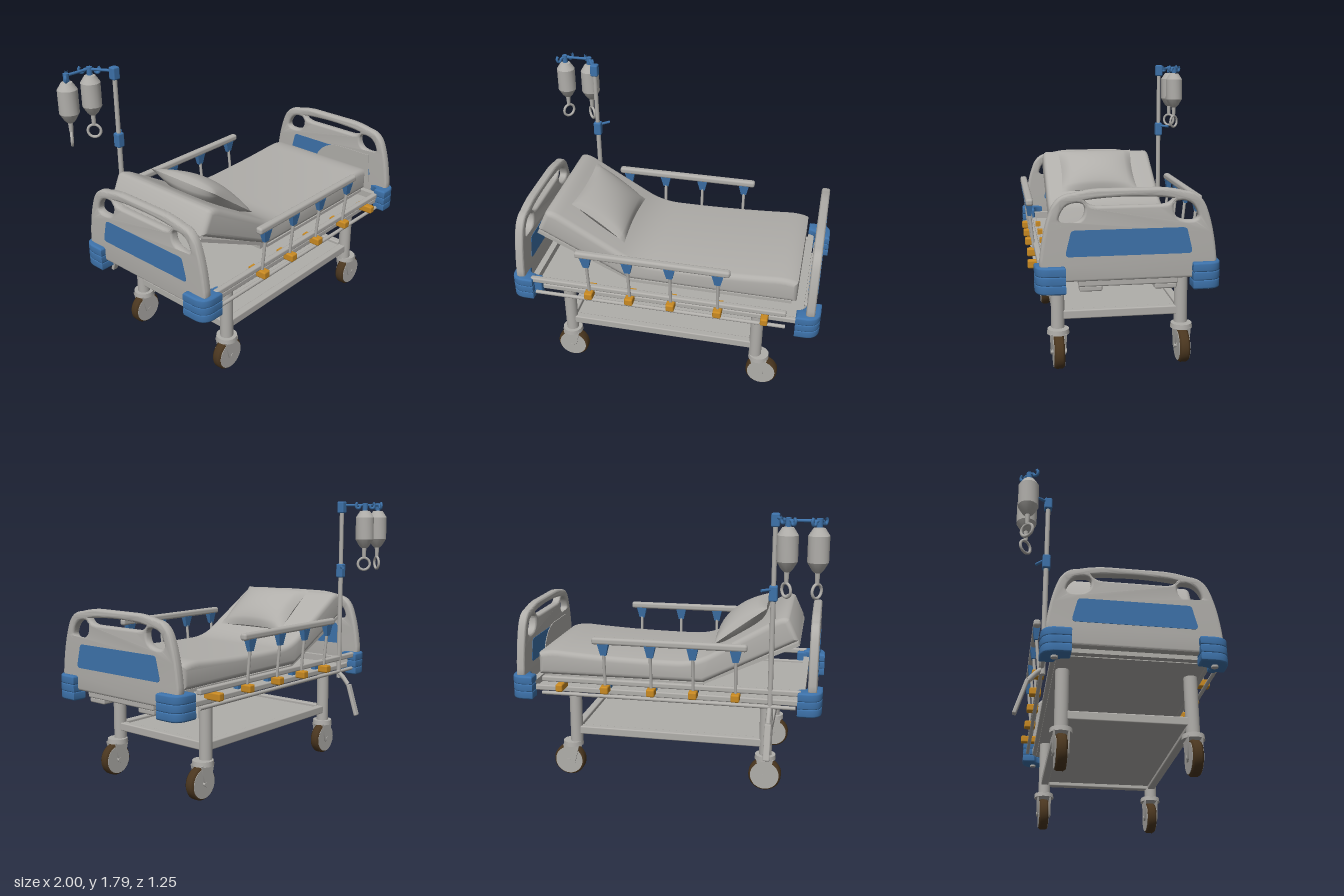
import * as THREE from 'three';
import { toCreasedNormals, mergeVertices } from 'three/addons/utils/BufferGeometryUtils.js';
import { RoundedBoxGeometry } from 'three/addons/geometries/RoundedBoxGeometry.js';

const CZ = 0.07; // bed centre line in z

function material(name, color) {
  const m = new THREE.MeshStandardMaterial({ color });
  m.name = name;
  return m;
}

export function createModel() {
  const bed = new THREE.Group();
  bed.name = 'hospitalBed';
  const grey = material('lightGrey', 0xb0aeaa);
  const blue = material('blue', 0x3d72aa);
  const orange = material('orange', 0xc98a22);
  const rubber = material('darkBrownRubber', 0x4a361f);

  const add = (name, geo, mat, x = 0, y = 0, z = 0, parent = bed) => {
    const m = new THREE.Mesh(geo, mat);
    m.name = name;
    m.position.set(x, y, z);
    parent.add(m);
    return m;
  };
  const box = (name, mat, w, h, d, x, y, z, r = 0) =>
    add(name, r ? new RoundedBoxGeometry(w, h, d, 2, r) : new THREE.BoxGeometry(w, h, d), mat, x, y, z);
  // Round bar between two points
  const bar = (name, mat, a, b, r, sides = 16) => {
    const p = new THREE.Vector3(...a), q = new THREE.Vector3(...b);
    const m = add(name, new THREE.CylinderGeometry(r, r, p.distanceTo(q), sides), mat);
    m.position.copy(p).add(q).multiplyScalar(0.5);
    m.quaternion.setFromUnitVectors(new THREE.Vector3(0, 1, 0), q.sub(p).normalize());
  };
  const tube = (name, mat, pts, r, parent = bed) => add(name, new THREE.TubeGeometry(
    new THREE.CatmullRomCurve3(pts.map(p => new THREE.Vector3(...p))), 24, r, 10), mat, 0, 0, 0, parent);
  const profile = (pts) => pts.map(p => new THREE.Vector2(...p));
  // Extrusion centred on its depth, with rounded edges kept inside the outline
  const slab = (shape, depth, bevel) => {
    const g = new THREE.ExtrudeGeometry(shape, {
      depth: depth - 2 * bevel, bevelEnabled: bevel > 0, bevelSize: bevel, bevelOffset: -bevel,
      bevelThickness: bevel, bevelSegments: 4, curveSegments: 10,
    });
    g.translate(0, 0, bevel - depth / 2);
    return toCreasedNormals(g, 0.6);
  };

  // Head and foot boards with grip slot and corner openings
  const board = new THREE.Shape();
  board.moveTo(-0.46, 0.62);
  board.lineTo(0.46, 0.62);
  board.lineTo(0.505, 0.72);
  board.quadraticCurveTo(0.49, 0.9, 0.445, 1.02);
  board.quadraticCurveTo(0.41, 1.115, 0.32, 1.118);
  board.quadraticCurveTo(0.24, 1.14, 0.16, 1.142);
  board.lineTo(-0.16, 1.142);
  board.quadraticCurveTo(-0.24, 1.14, -0.32, 1.118);
  board.quadraticCurveTo(-0.41, 1.115, -0.445, 1.02);
  board.quadraticCurveTo(-0.49, 0.9, -0.505, 0.72);
  board.closePath();
  const slot = new THREE.Path();
  slot.moveTo(-0.25, 1.08);
  slot.quadraticCurveTo(0, 1.11, 0.25, 1.08);
  slot.quadraticCurveTo(0.23, 1.045, 0.17, 1.045);
  slot.lineTo(-0.17, 1.045);
  slot.quadraticCurveTo(-0.23, 1.045, -0.25, 1.08);
  board.holes.push(slot);
  for (const s of [-1, 1]) {
    const h = new THREE.Path();
    h.moveTo(s * 0.28, 1.065);
    h.quadraticCurveTo(s * 0.37, 1.075, s * 0.395, 0.98);
    h.quadraticCurveTo(s * 0.395, 0.955, s * 0.36, 0.952);
    h.quadraticCurveTo(s * 0.25, 0.945, s * 0.25, 1.03);
    h.quadraticCurveTo(s * 0.25, 1.06, s * 0.28, 1.065);
    board.holes.push(h);
  }
  const boardGeo = slab(board, 0.056, 0.016);
  const panel = new THREE.Shape();
  panel.moveTo(-0.335, 0.765);
  panel.lineTo(0.335, 0.765);
  panel.quadraticCurveTo(0.36, 0.765, 0.357, 0.79);
  panel.lineTo(0.33, 0.9);
  panel.quadraticCurveTo(0.325, 0.915, 0.3, 0.915);
  panel.lineTo(-0.3, 0.915);
  panel.quadraticCurveTo(-0.325, 0.915, -0.33, 0.9);
  panel.lineTo(-0.357, 0.79);
  panel.quadraticCurveTo(-0.36, 0.765, -0.335, 0.765);
  const panelGeo = slab(panel, 0.004, 0);

  // Corner bumper plan: rounded outer corner, hollowed inner corner
  const plan = new THREE.Shape();
  plan.moveTo(0.06, 0);
  plan.lineTo(0.15, 0);
  plan.lineTo(0.15, 0.08);
  plan.quadraticCurveTo(0.15, 0.17, 0.06, 0.17);
  plan.lineTo(0, 0.17);
  plan.lineTo(0, 0.085);
  plan.quadraticCurveTo(0.06, 0.08, 0.06, 0);
  const ridgeGeo = slab(plan, 0.058, 0.012).rotateX(Math.PI / 2);
  for (const sx of [-1, 1]) {
    const end = sx < 0 ? 'head' : 'foot';
    add(end + 'Board', boardGeo, grey, sx * 0.937, 0, CZ).rotation.y = Math.PI / 2;
    for (const f of [-1, 1])
      add(end + 'BoardPanel', panelGeo, blue, sx * 0.937 + f * 0.0285, 0, CZ).rotation.y = Math.PI / 2;
    box(end + 'CrossBeam', grey, 0.04, 0.06, 0.92, sx * 0.87, 0.64, CZ);
    for (const sz of [-1, 1]) {
      const corner = new THREE.Group();
      corner.name = end + 'CornerBumper';
      for (let i = 0; i < 3; i++) add('bumperRidge', ridgeGeo, blue, -0.15, 0.586 + i * 0.049, 0, corner);
      // Turn the plan so its rounded corner points outwards
      corner.position.set(sx, 0, CZ + sz * 0.36);
      corner.scale.set(sx, 1, sz);
      bed.add(corner);
      bar('cornerPeg', grey, [sx * 0.937, 0.545, CZ + sz * 0.45], [sx * 0.937, 0.58, CZ + sz * 0.45], 0.02);
    }
  }
  // Grey arched cover over the inner face of the foot board
  const cover = new THREE.Shape();
  cover.moveTo(-0.36, 0.72);
  cover.lineTo(0.14, 0.72);
  cover.quadraticCurveTo(0.1, 0.93, -0.1, 0.93);
  cover.lineTo(-0.34, 0.93);
  cover.closePath();
  add('footBoardCover', slab(cover, 0.005, 0), grey, 0.9045, 0, CZ).rotation.y = Math.PI / 2;
  // Blue collar joining the front rails to the head corner
  box('railCollar', blue, 0.075, 0.13, 0.05, -0.84, 0.638, 0.535, 0.012);

  // Deck, plank under the mattress and hinged back support
  box('deck', grey, 1.7, 0.02, 0.86, 0, 0.615, CZ);
  box('mattressSupport', grey, 1.06, 0.02, 0.76, 0.28, 0.69, 0.05);
  box('backSupport', grey, 0.66, 0.022, 0.76, -0.545, 0.845, 0.05).rotation.z = -0.445;
  for (const x of [-0.203, 0.365, 0.66]) box('deckSpacer', grey, 0.04, 0.06, 0.6, x, 0.65, 0.05);

  // Crank housing at the foot end
  box('crankHousing', grey, 0.1, 0.045, 0.57, 0.9, 0.608, CZ, 0.01);
  for (const z of [0.285, -0.145]) box('crankHandle', grey, 0.08, 0.035, 0.13, 0.9, 0.572, z, 0.01);

  // Mattress with raised back
  const side = new THREE.Shape();
  side.moveTo(-0.25, 0.705);
  side.lineTo(0.84, 0.7);
  side.lineTo(0.84, 0.845);
  side.quadraticCurveTo(0.78, 0.872, 0.68, 0.862);
  side.quadraticCurveTo(0.3, 0.835, -0.08, 0.838);
  side.quadraticCurveTo(-0.2, 0.84, -0.3, 0.9);
  side.lineTo(-0.68, 1.125);
  side.quadraticCurveTo(-0.75, 1.165, -0.78, 1.14);
  side.lineTo(-0.84, 1.01);
  side.closePath();
  add('mattress', slab(side, 0.8, 0.035), grey, 0, 0, 0.045);

  // Pillow: two domed sheets joined along a pinched rim
  const pillow = new THREE.Group();
  pillow.name = 'pillow';
  for (const s of [1, -1]) {
    const g = new THREE.PlaneGeometry(2, 2, 18, 18).rotateX(s > 0 ? -Math.PI / 2 : Math.PI / 2);
    const p = g.attributes.position;
    for (let i = 0; i < p.count; i++) {
      const u = p.getX(i), v = p.getZ(i);
      const dome = Math.pow(Math.max(0, (1 - u * u) * (1 - v * v)), 0.55);
      p.setXYZ(i, u * 0.21 * (1 - 0.07 * (1 - v * v)), s * dome * 0.085, v * 0.273 * (1 - 0.06 * (1 - u * u)));
    }
    g.deleteAttribute('uv');
    g.deleteAttribute('normal');
    const merged = mergeVertices(g);
    merged.computeVertexNormals();
    add('pillowSheet', merged, grey, 0, 0, 0, pillow);
  }
  pillow.position.set(-0.46, 1.045, 0.072);
  pillow.rotation.z = -0.64;
  bed.add(pillow);

  // Side frames and guard rails
  const bracketGeo = toCreasedNormals(new THREE.CylinderGeometry(0.05, 0.026, 0.075, 4).rotateY(Math.PI / 4), 0.3);
  for (const sz of [-1, 1]) {
    const z = (d) => CZ + sz * d;
    box('upperSideRail', grey, 1.66, 0.036, 0.036, -0.04, 0.7, z(0.49), 0.01);
    box('lowerSideRail', grey, 1.72, 0.036, 0.03, 0, 0.622, z(0.445), 0.008);
    bar('guardPivotRod', grey, [-0.84, 0.605, z(0.5)], [0.79, 0.605, z(0.5)], 0.012);
    box('guardRail', grey, 0.98, 0.045, 0.046, -0.05, 0.98, z(0.53), 0.016);
    for (const x of [-0.47, -0.203, 0.065, 0.365]) {
      add('railBracket', bracketGeo, blue, x, 0.925, z(0.53)).scale.z = 0.6;
      bar('railPost', grey, [x, 0.67, z(0.505)], [x, 0.9, z(0.528)], 0.01);
      box('postFoot', sz > 0 ? orange : blue, 0.045, 0.03, 0.035, x, 0.66, z(0.435));
      box('railClamp', orange, 0.054, 0.05, 0.075, x, 0.657, z(0.511), 0.01);
    }
    box('railLatch', orange, 0.046, 0.05, 0.125, 0.66, 0.657, z(0.495), 0.01);
  }

  // Undercarriage
  const legX = [-0.655, 0.605], legZ = [-0.31, 0.45];
  for (const z of legZ) box('longBeam', grey, 1.24, 0.054, 0.05, -0.025, 0.322, z, 0.008);
  for (const x of legX) box('crossBeam', grey, 0.05, 0.054, 0.74, x, 0.322, CZ, 0.008);
  box('lowerShelf', grey, 1.2, 0.012, 0.72, -0.025, 0.325, CZ);
  const fork = new THREE.Shape();
  fork.moveTo(-0.055, 0.115);
  fork.lineTo(-0.025, -0.01);
  fork.quadraticCurveTo(0, -0.04, 0.025, -0.01);
  fork.lineTo(0.055, 0.115);
  fork.closePath();
  const forkGeo = slab(fork, 0.01, 0);
  const wheelGeo = new THREE.LatheGeometry(profile([[0.07, -0.033], [0.096, -0.031], [0.105, -0.018],
    [0.105, 0.018], [0.096, 0.031], [0.07, 0.033]]), 32).rotateX(Math.PI / 2);
  const hubGeo = new THREE.CylinderGeometry(0.092, 0.092, 0.068, 32).rotateX(Math.PI / 2);
  legX.forEach((x, i) => {
    const wx = i ? 0.655 : -0.655;
    for (const z of legZ) {
      bar('leg', grey, [x, 0.23, z], [x, 0.61, z], 0.041, 24);
      const caster = new THREE.Group();
      caster.name = 'caster';
      add('tyre', wheelGeo, rubber, 0, 0, 0, caster);
      add('hub', hubGeo, grey, 0, 0, 0, caster);
      for (const s of [-1, 1]) add('fork', forkGeo, grey, (x - wx) * 0.4, 0, s * 0.042, caster);
      add('casterCap', new THREE.CylinderGeometry(0.065, 0.068, 0.03, 24), grey, (x - wx) * 0.5, 0.122, 0, caster);
      add('axle', new THREE.CylinderGeometry(0.014, 0.014, 0.1, 12).rotateX(Math.PI / 2), grey, 0, 0, 0, caster);
      caster.position.set(wx, 0.106, z);
      bed.add(caster);
    }
  });

  // Release paddle hanging from the back side
  tube('paddleArm', grey, [[-0.68, 0.6, -0.42], [-0.68, 0.57, -0.46], [-0.68, 0.52, -0.505]], 0.016);
  box('paddle', grey, 0.042, 0.225, 0.024, -0.68, 0.415, -0.545, 0.008).rotation.x = 0.31;

  // Drip stand
  bar('standPole', grey, [-0.682, 0.56, -0.425], [-0.682, 1.3, -0.425], 0.016);
  bar('standUpperPole', grey, [-0.682, 1.3, -0.425], [-0.682, 1.75, -0.425], 0.0145);
  box('standClamp', blue, 0.052, 0.095, 0.05, -0.682, 1.318, -0.425, 0.01);
  bar('clampLever', blue, [-0.682, 1.343, -0.425], [-0.615, 1.343, -0.485], 0.009);
  box('standHead', blue, 0.052, 0.08, 0.05, -0.682, 1.753, -0.425, 0.01);
  bar('standArm', blue, [-0.69, 1.768, -0.43], [-0.765, 1.768, -0.565], 0.009);
  bar('hangerArm', blue, [-0.765, 1.768, -0.565], [-0.935, 1.768, -0.565], 0.009);

  // Hooks, bags and pull rings
  const bagGeo = toCreasedNormals(new THREE.LatheGeometry(profile([[0, 1.475], [0.02, 1.475], [0.035, 1.49],
    [0.062, 1.535], [0.062, 1.685], [0.034, 1.728], [0, 1.732]]), 16), 0.5);
  [[-0.937, 0.9], [-0.763, -0.85]].forEach(([x, turn]) => {
    const hanger = new THREE.Group();
    hanger.name = 'dripBagHanger';
    for (const s of [-1, 1])
      tube('hook', blue, [[0, 1.77, 0], [s * 0.03, 1.765, 0], [s * 0.04, 1.748, 0],
        [s * 0.056, 1.748, 0], [s * 0.064, 1.768, 0], [s * 0.054, 1.786, 0]], 0.009, hanger);
    add('hookHub', new THREE.CylinderGeometry(0.018, 0.018, 0.05, 12), blue, 0, 1.758, 0, hanger);
    add('bag', bagGeo, grey, 0, 0, 0, hanger);
    add('bagNeck', new THREE.CylinderGeometry(0.016, 0.012, 0.07, 12), grey, 0, 1.445, 0, hanger);
    add('pullRing', new THREE.TorusGeometry(0.041, 0.009, 10, 28), grey, 0, 1.367, 0, hanger);
    hanger.position.set(x, 0, -0.56);
    hanger.rotation.y = turn;
    bed.add(hanger);
  });

  return bed;
}
